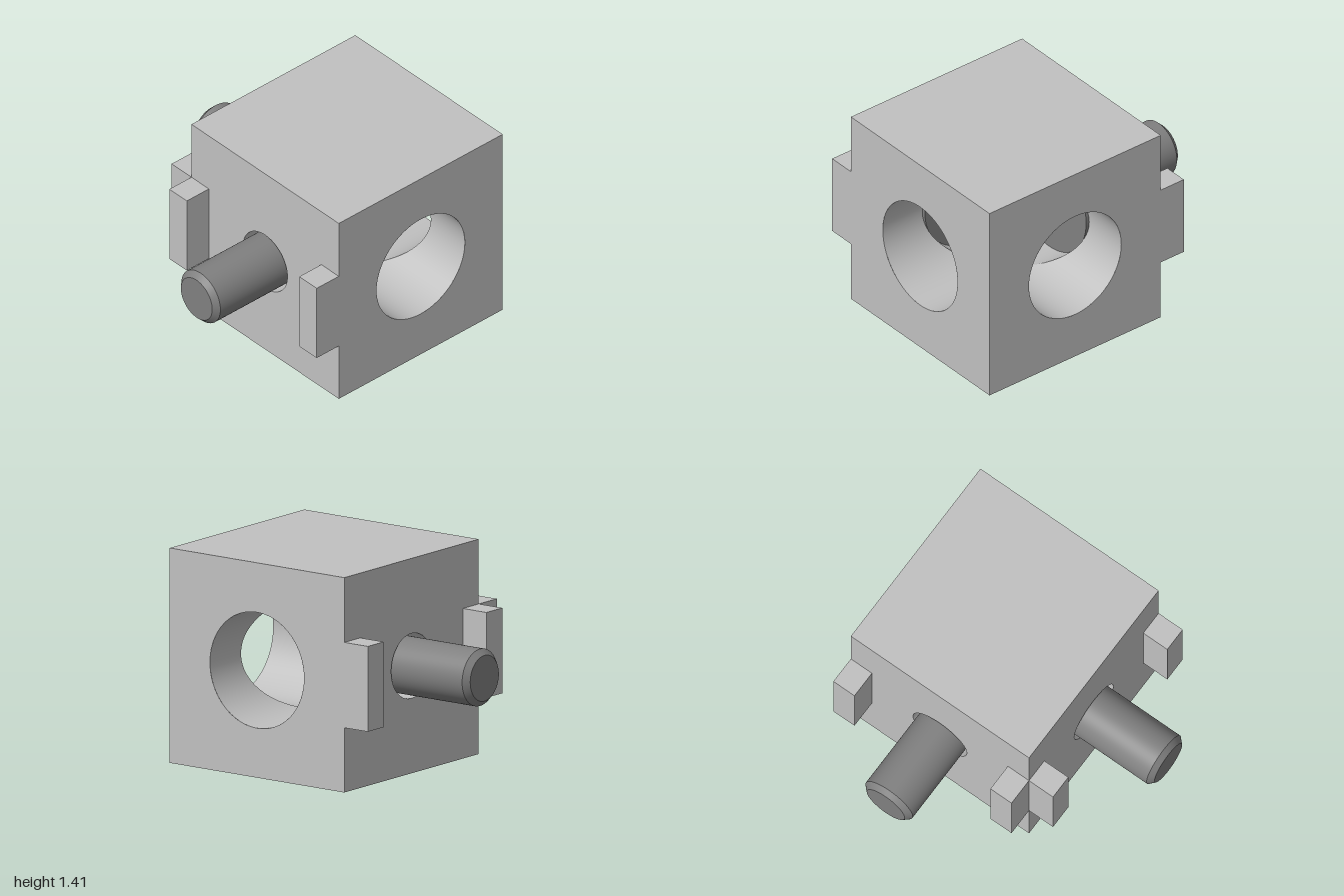
import * as THREE from 'three';
import { toCreasedNormals } from 'three/addons/utils/BufferGeometryUtils.js';

const HALF = 0.705;      // half the block's edge
const BORE = 0.38;       // counterbore radius
const CLEAR = 0.213;     // clearance hole radius
const FLOOR = 0.555;     // counterbore floor, from the block's centre
const HEAD_TOP = 0.355;  // top of the bolt head, from the block's centre
const SEG = 64;

const blockMat = new THREE.MeshStandardMaterial({ color: 0xc0c0c0, side: THREE.DoubleSide });
blockMat.name = 'light grey block';
const boltMat = new THREE.MeshStandardMaterial({ color: 0x808080, side: THREE.DoubleSide });
boltMat.name = 'dark grey bolt';

function add(group, name, geometry, material) {
  const mesh = new THREE.Mesh(geometry, material);
  mesh.name = name;
  group.add(mesh);
  return mesh;
}

function squareWithHole(radius) {
  const s = new THREE.Shape();
  s.moveTo(-HALF, -HALF).lineTo(HALF, -HALF).lineTo(HALF, HALF).lineTo(-HALF, HALF).closePath();
  s.holes.push(new THREE.Path().absarc(0, 0, radius, 0, Math.PI * 2, true));
  return new THREE.ShapeGeometry(s, SEG);
}

// Open tube along z between two ends, each a number or a function of x
function tube(radius, start, end, sides = SEG) {
  const g = new THREE.CylinderGeometry(radius, radius, 1, sides, 1, true).rotateX(Math.PI / 2);
  const p = g.attributes.position;
  for (let i = 0; i < p.count; i++) {
    const limit = p.getZ(i) > 0 ? end : start;
    p.setZ(i, typeof limit === 'function' ? limit(p.getX(i)) : limit);
  }
  return g;
}

function createBolt() {
  const bolt = new THREE.Group();
  bolt.name = 'bolt';
  const r = BORE - 0.002;
  const profile = [[r, HEAD_TOP], [r, FLOOR], [0.187, FLOOR], [0.187, 1.258], [0.15, 1.295], [0, 1.295]];
  const body = new THREE.LatheGeometry(profile.map(([x, y]) => new THREE.Vector2(x, y)), SEG);
  add(bolt, 'boltHeadAndShank', toCreasedNormals(body.rotateX(Math.PI / 2), 0.5), boltMat);

  // Head top with a hexagonal opening
  const top = new THREE.Shape().absarc(0, 0, r, 0, Math.PI * 2);
  const hex = [];
  for (let i = 0; i < 6; i++) {
    const a = Math.PI / 2 - i * Math.PI / 3;
    hex.push(new THREE.Vector2(0.14 * Math.cos(a), 0.14 * Math.sin(a)));
  }
  top.holes.push(new THREE.Path(hex));
  const topGeo = new THREE.ShapeGeometry(top, SEG).rotateY(Math.PI).translate(0, 0, HEAD_TOP);
  add(bolt, 'boltHeadTop', topGeo, boltMat);

  // Hexagonal socket with a shallow drilled point
  const depth = HEAD_TOP + 0.11;
  add(bolt, 'socketWall', toCreasedNormals(tube(0.14, HEAD_TOP, depth, 6), 0.3), boltMat);
  const point = new THREE.ConeGeometry(0.14, 0.04, 6, 1, true).rotateX(Math.PI / 2)
    .translate(0, 0, depth + 0.02).toNonIndexed();
  point.computeVertexNormals();
  add(bolt, 'socketBottom', point, boltMat);
  return bolt;
}

// One drilled axis: two block faces, the stepped bore, two locating tabs and a bolt
function createAxis(name) {
  const g = new THREE.Group();
  g.name = name;
  add(g, 'boltFace', squareWithHole(CLEAR).translate(0, 0, HALF), blockMat);
  add(g, 'boreFace', squareWithHole(BORE).rotateY(Math.PI).translate(0, 0, -HALF), blockMat);

  // Bore walls stop where the other, equal bore crosses
  add(g, 'outerBoreWall', tube(BORE, -HALF, x => -Math.abs(x)), blockMat);
  add(g, 'innerBoreWall', tube(BORE, x => Math.abs(x), FLOOR), blockMat);
  add(g, 'boreFloor', new THREE.RingGeometry(CLEAR, BORE, SEG).rotateY(Math.PI)
    .translate(0, 0, FLOOR + 0.001), blockMat);
  add(g, 'clearanceHole', tube(CLEAR, FLOOR, HALF), blockMat);

  for (const side of [-1, 1]) {
    const tab = add(g, 'locatingTab', new THREE.BoxGeometry(0.167, 0.56, 0.19), blockMat);
    tab.position.set(side * (HALF - 0.0835), 0, HALF + 0.095);
  }
  g.add(createBolt());
  return g;
}

export function createModel() {
  const model = new THREE.Group();
  model.name = 'cubeConnector';
  const block = new THREE.Group();
  block.name = 'block';
  block.position.set(0.295, HALF, -0.295);
  model.add(block);

  // Closed top and bottom
  for (const side of [-1, 1]) {
    const cap = new THREE.PlaneGeometry(2 * HALF, 2 * HALF).rotateX(-side * Math.PI / 2);
    add(block, side > 0 ? 'topFace' : 'bottomFace', cap.translate(0, side * HALF, 0), blockMat);
  }

  // The same axis twice, pointing forward and to the right
  const front = createAxis('frontAxis');
  const right = createAxis('rightAxis');
  right.rotation.y = -Math.PI / 2;
  block.add(front, right);
  return model;
}
